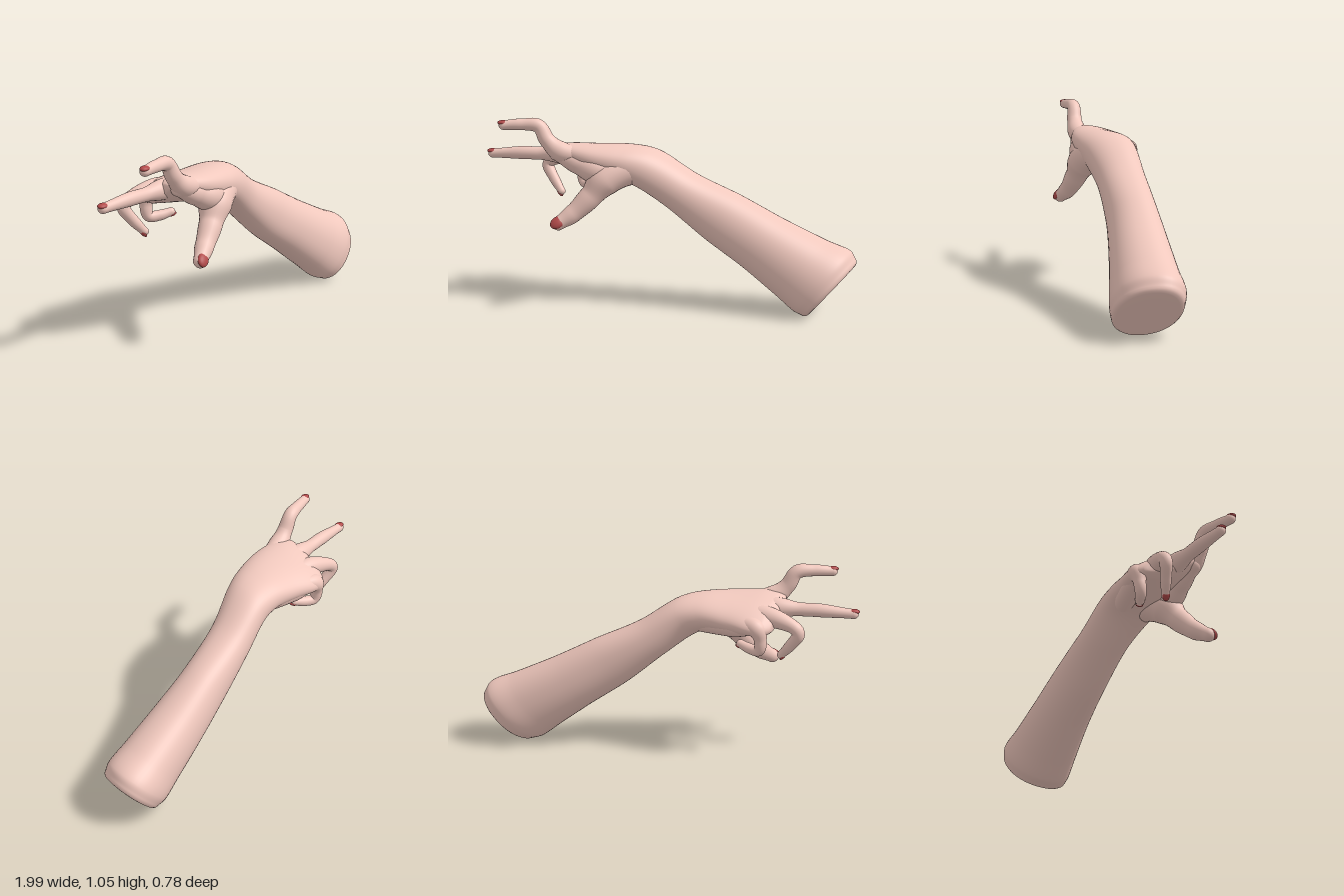
import * as THREE from 'three';

const V = (x, y, z) => new THREE.Vector3(x, y, z);
const skin = new THREE.MeshStandardMaterial({ color: 0xf0c8bd });
const polish = new THREE.MeshStandardMaterial({ color: 0xb24a4a });

// Skin a list of rings {c, u, s}: centre and two half-axes, u x s along the path
function loft(rings, sides, power = 1) {
  const pos = [], index = [];
  const soft = (v) => Math.sign(v) * Math.abs(v) ** power;
  rings.forEach(({ c, u, s }, i) => {
    for (let j = 0; j < sides; j++) {
      const a = (j / sides) * Math.PI * 2;
      const p = c.clone().addScaledVector(u, soft(Math.cos(a))).addScaledVector(s, soft(Math.sin(a)));
      pos.push(p.x, p.y, p.z);
      if (i === rings.length - 1) continue;
      const k = (j + 1) % sides, A = i * sides + j, B = i * sides + k;
      index.push(A, B, A + sides, B, B + sides, A + sides);
    }
  });
  const g = new THREE.BufferGeometry();
  g.setAttribute('position', new THREE.Float32BufferAttribute(pos, 3));
  g.setIndex(index);
  g.computeVertexNormals();
  return g;
}

function part(name, geometry, material = skin) {
  const m = new THREE.Mesh(geometry, material);
  m.name = name;
  return m;
}

// Forearm, wrist and palm: smooth run of tilted oval sections, elbow to knuckles
function armGeometry() {
  const sections = [ // centre, upper half-axis, rear half-axis
    [V(0.86, 0.158, -0.205), V(0.122, 0.147, -0.02), V(0.012, 0.026, -0.178)],
    [V(0.82, 0.19, -0.203), V(0.132, 0.16, -0.02), V(0.01, 0.025, -0.186)],
    [V(0.715, 0.25, -0.185), V(0.115, 0.152, -0.018), V(0.005, 0.018, -0.174)],
    [V(0.495, 0.382, -0.148), V(0.095, 0.133, -0.015), V(0, 0.01, -0.152)],
    [V(0.285, 0.51, -0.105), V(0.085, 0.12, -0.015), V(0, 0.01, -0.135)],
    [V(0.065, 0.652, -0.045), V(0.065, 0.093, -0.015), V(0, 0, -0.132)],
    [V(-0.11, 0.775, 0.025), V(0.042, 0.1, -0.01), V(0, 0, -0.15)],
    [V(-0.21, 0.805, 0.055), V(0.015, 0.098, 0), V(0, -0.005, -0.165)],
    [V(-0.36, 0.815, 0.08), V(0, 0.086, -0.01), V(0, -0.035, -0.184)],
    [V(-0.49, 0.817, 0.08), V(0, 0.068, -0.025), V(0, -0.062, -0.186)],
    [V(-0.56, 0.815, 0.083), V(0, 0.054, -0.023), V(0, -0.066, -0.174)],
    [V(-0.6, 0.815, 0.09), V(0, 0.032, -0.013), V(0, -0.056, -0.135)],
    [V(-0.612, 0.815, 0.09), V(0, 0.001, 0), V(0, 0, -0.001)],
  ];
  const [C, U, S] = [0, 1, 2].map((k) => new THREE.CatmullRomCurve3(sections.map((q) => q[k])));
  const rings = [];
  for (let i = 0; i <= 96; i++) {
    rings.push({ c: C.getPoint(i / 96), u: U.getPoint(i / 96), s: S.getPoint(i / 96) });
  }
  // Flat cut end with a small rounded rim
  const r0 = rings[0], out = V(0.75, -0.66, 0);
  const cap = [[0, 0.024], [0.5, 0.024], [0.86, 0.024], [0.93, 0.021], [0.98, 0.012]].map(([k, d]) => ({
    c: r0.c.clone().addScaledVector(out, d),
    u: r0.u.clone().multiplyScalar(k),
    s: r0.s.clone().multiplyScalar(k),
  }));
  return loft([...cap, ...rings], 48, 0.93);
}

// Tapered tube through points with a radius each, closed by a round tip
function digitGeometry(points, radii) {
  const curve = new THREE.CatmullRomCurve3(points);
  const n = 48, frames = curve.computeFrenetFrames(n), last = radii.length - 1;
  const ring = (c, i, r) => ({
    c,
    u: frames.normals[i].clone().multiplyScalar(r),
    s: frames.binormals[i].clone().multiplyScalar(r),
  });
  const rings = [];
  for (let i = 0; i <= n; i++) {
    const f = curve.getUtoTmapping(i / n) * last, k = Math.min(Math.floor(f), last - 1);
    const r = THREE.MathUtils.lerp(radii[k], radii[k + 1], THREE.MathUtils.smoothstep(f - k, 0, 1));
    rings.push(ring(curve.getPointAt(i / n), i, r));
  }
  const end = points[last], dir = frames.tangents[n], r = radii[last];
  for (let j = 1; j <= 7; j++) {
    const a = (j / 7) * Math.PI / 2;
    rings.push(ring(end.clone().addScaledVector(dir, r * Math.sin(a)), n, r * Math.cos(a)));
  }
  return loft(rings, 24);
}

// Nail: flattened ellipsoid lying on the tip, facing the given way
function nail(name, points, r, facing) {
  const end = points[points.length - 1];
  const dir = end.clone().sub(points[points.length - 2]).normalize();
  const up = facing.clone().addScaledVector(dir, -facing.dot(dir)).normalize();
  const m = part(name, new THREE.SphereGeometry(1, 20, 14), polish);
  m.quaternion.setFromRotationMatrix(new THREE.Matrix4().makeBasis(dir, up, dir.clone().cross(up)));
  m.scale.set(r * 1.15, r * 0.5, r * 0.88);
  m.position.copy(end).addScaledVector(up, r * 0.56).addScaledVector(dir, r * 0.05);
  return m;
}

export function createModel() {
  const model = new THREE.Group();
  model.name = 'armAndHand';
  model.add(part('forearmAndPalm', armGeometry()));

  // Each digit starts inside the palm so its root swells into a knuckle
  const digits = [
    { name: 'thumb', facing: V(0, 0.3, 1),
      points: [V(-0.07, 0.77, 0.02), V(-0.19, 0.775, 0.115), V(-0.285, 0.725, 0.19), V(-0.35, 0.635, 0.238), V(-0.43, 0.545, 0.292), V(-0.492, 0.495, 0.342)],
      radii: [0.05, 0.088, 0.088, 0.062, 0.05, 0.037] },
    { name: 'indexFinger', facing: V(0, 1, 0.1),
      points: [V(-0.3, 0.84, 0.17), V(-0.52, 0.868, 0.243), V(-0.592, 0.93, 0.266), V(-0.638, 1.005, 0.275), V(-0.73, 1.014, 0.312), V(-0.815, 1.01, 0.348)],
      radii: [0.03, 0.056, 0.043, 0.038, 0.031, 0.026] },
    { name: 'middleFinger', facing: V(0, 1, 0.1),
      points: [V(-0.36, 0.835, 0.1), V(-0.57, 0.838, 0.138), V(-0.7, 0.834, 0.162), V(-0.79, 0.834, 0.18), V(-0.972, 0.824, 0.216)],
      radii: [0.035, 0.054, 0.036, 0.036, 0.026] },
    { name: 'ringFinger', facing: V(-0.8, -0.5, 0),
      points: [V(-0.36, 0.82, 0.03), V(-0.56, 0.815, 0.03), V(-0.715, 0.77, 0.016), V(-0.733, 0.742, 0.018), V(-0.685, 0.668, 0.035), V(-0.632, 0.606, 0.052)],
      radii: [0.035, 0.052, 0.035, 0.034, 0.029, 0.022] },
    { name: 'littleFinger', facing: V(0, -1, -0.1),
      points: [V(-0.36, 0.79, -0.04), V(-0.525, 0.768, -0.058), V(-0.55, 0.7, -0.055), V(-0.54, 0.648, -0.047), V(-0.485, 0.646, -0.03), V(-0.425, 0.66, -0.01)],
      radii: [0.035, 0.05, 0.033, 0.03, 0.028, 0.023] },
  ];
  for (const { name, points, radii, facing } of digits) {
    const digit = new THREE.Group();
    digit.name = name;
    digit.add(part(name + 'Flesh', digitGeometry(points, radii)));
    digit.add(nail(name + 'Nail', points, radii[radii.length - 1], facing));
    model.add(digit);
  }

  // Soft web of flesh between thumb and index finger
  model.add(part('thumbWeb', digitGeometry(
    [V(-0.14, 0.78, 0.08), V(-0.33, 0.775, 0.195), V(-0.43, 0.81, 0.215), V(-0.55, 0.86, 0.243)], [0.05, 0.076, 0.062, 0.042])));
  // Pad on the little-finger side of the palm
  model.add(part('palmHeel', digitGeometry(
    [V(-0.09, 0.775, 0), V(-0.22, 0.77, -0.02), V(-0.38, 0.765, -0.035), V(-0.53, 0.77, -0.05)], [0.045, 0.064, 0.062, 0.042])));
  return model;
}
